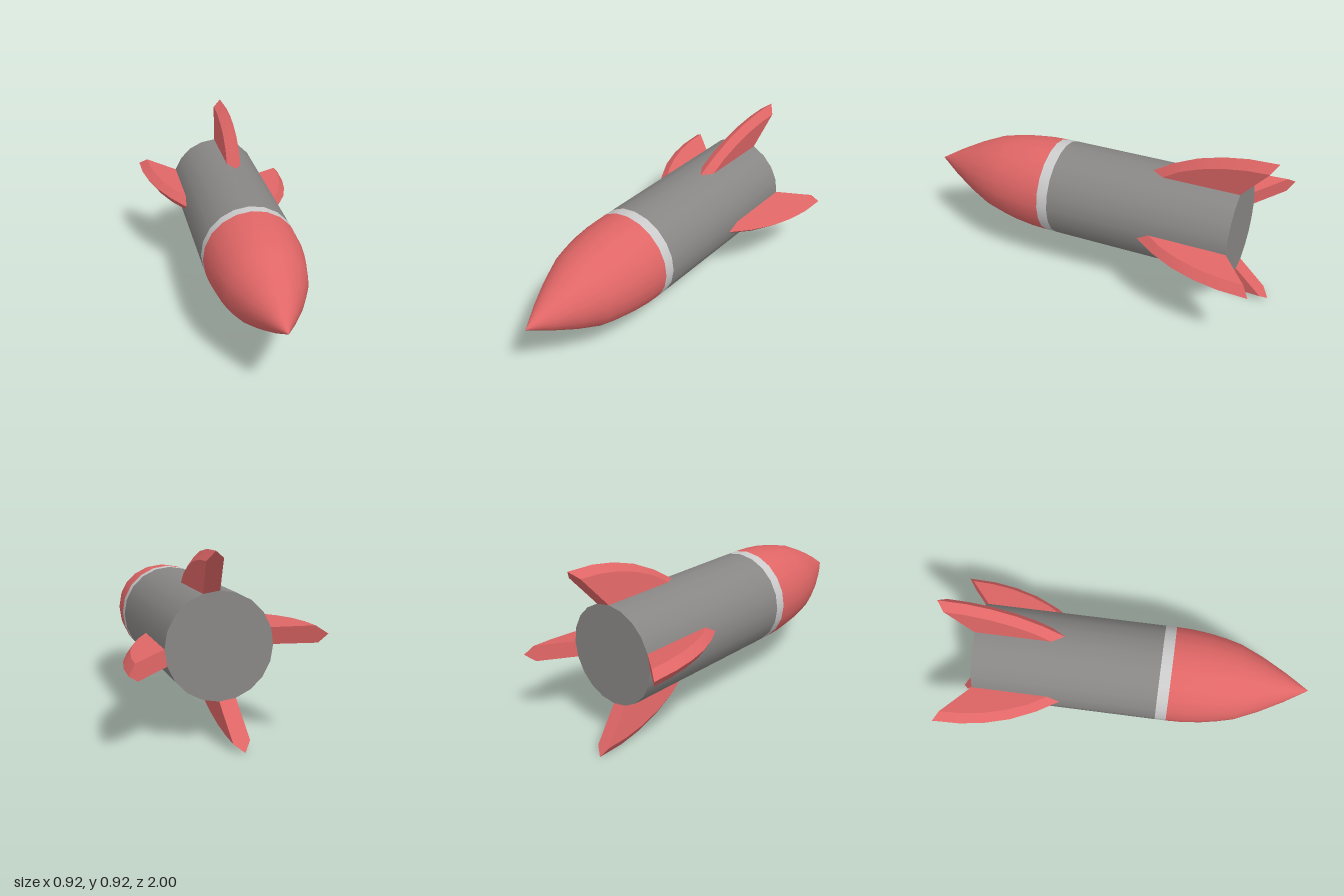
import * as THREE from 'three';
import { toCreasedNormals } from 'three/addons/utils/BufferGeometryUtils.js';

const SIDES = 20;
const RADIUS = 0.262;
const AXIS_Y = 0.464;
const TAIL_Z = -0.825;
const APOTHEM = RADIUS * Math.cos(Math.PI / SIDES);
const HALF_FIN = RADIUS * Math.sin(Math.PI / SIDES);

// Lathe around the z axis from [z, radius] pairs
function turned(name, profile, material) {
  const points = profile.map(([z, r]) => new THREE.Vector2(r, z));
  const geometry = new THREE.LatheGeometry(points, SIDES).rotateX(Math.PI / 2);
  const mesh = new THREE.Mesh(geometry, material);
  mesh.name = name;
  return mesh;
}

// Swept fin pointing up +y: bevelled outer edge, flat sides, slanted back
function finGeometry() {
  // [z, distance from axis] along the ridge and along the bevel's lower edge
  const ridge = [[-0.345, APOTHEM], [-0.46, 0.336], [-0.59, 0.4], [-0.72, 0.44], [-0.85, 0.462], [-1, 0.467]];
  const shoulder = [[-0.412, APOTHEM], [-0.5, 0.318], [-0.61, 0.366], [-0.73, 0.401], [-0.85, 0.42], [-0.965, 0.425]];
  const last = ridge.length - 1;
  const positions = [];

  for (const side of [1, -1]) {
    const at = (x, [z, r]) => [x * side, r, z];
    const R = ridge.map((p) => at(0, p));
    const S = shoulder.map((p) => at(HALF_FIN, p));
    const root = at(HALF_FIN, [TAIL_Z, APOTHEM]);
    const rootMiddle = at(0, [TAIL_Z, APOTHEM]);
    const tri = (a, b, c) => positions.push(...a, ...(side > 0 ? b : c), ...(side > 0 ? c : b));

    for (let i = 0; i < last; i++) {
      tri(R[i], S[i], R[i + 1]);
      tri(S[i], S[i + 1], R[i + 1]);
      tri(root, S[i + 1], S[i]);
    }
    tri(R[last], S[last], root);
    tri(R[last], root, rootMiddle);
  }

  const geometry = new THREE.BufferGeometry();
  geometry.setAttribute('position', new THREE.Float32BufferAttribute(positions, 3));
  return toCreasedNormals(geometry, 0.5);
}

export function createModel() {
  const red = new THREE.MeshStandardMaterial({ color: 0xe06666 });
  const darkGrey = new THREE.MeshStandardMaterial({ color: 0x888785 });
  const lightGrey = new THREE.MeshStandardMaterial({ color: 0xcccccc });

  const rocket = new THREE.Group();
  rocket.name = 'rocket';

  // Hull
  rocket.add(turned('body', [[TAIL_Z, RADIUS], [0.18, RADIUS]], darkGrey));
  rocket.add(turned('collar', [[0.18, RADIUS], [0.24, RADIUS]], lightGrey));
  rocket.add(turned('noseCone', [
    [0.24, RADIUS], [0.33, 0.259], [0.43, 0.248], [0.52, 0.231],
    [0.61, 0.208], [0.74, 0.15], [0.87, 0.08], [1, 0],
  ], red));

  // Flat tail plate
  const tail = new THREE.Mesh(new THREE.CircleGeometry(RADIUS, SIDES).rotateY(Math.PI), darkGrey);
  tail.name = 'tailPlate';
  tail.position.z = TAIL_Z;
  rocket.add(tail);

  // Four fins, each centred on a flat of the hull
  const geometry = finGeometry();
  ['topFin', 'rightFin', 'bottomFin', 'leftFin'].forEach((name, i) => {
    const fin = new THREE.Mesh(geometry, red);
    fin.name = name;
    fin.rotation.z = i * Math.PI / 2 - Math.PI / SIDES;
    rocket.add(fin);
  });

  rocket.position.y = AXIS_Y;
  const model = new THREE.Group();
  model.add(rocket);
  return model;
}
